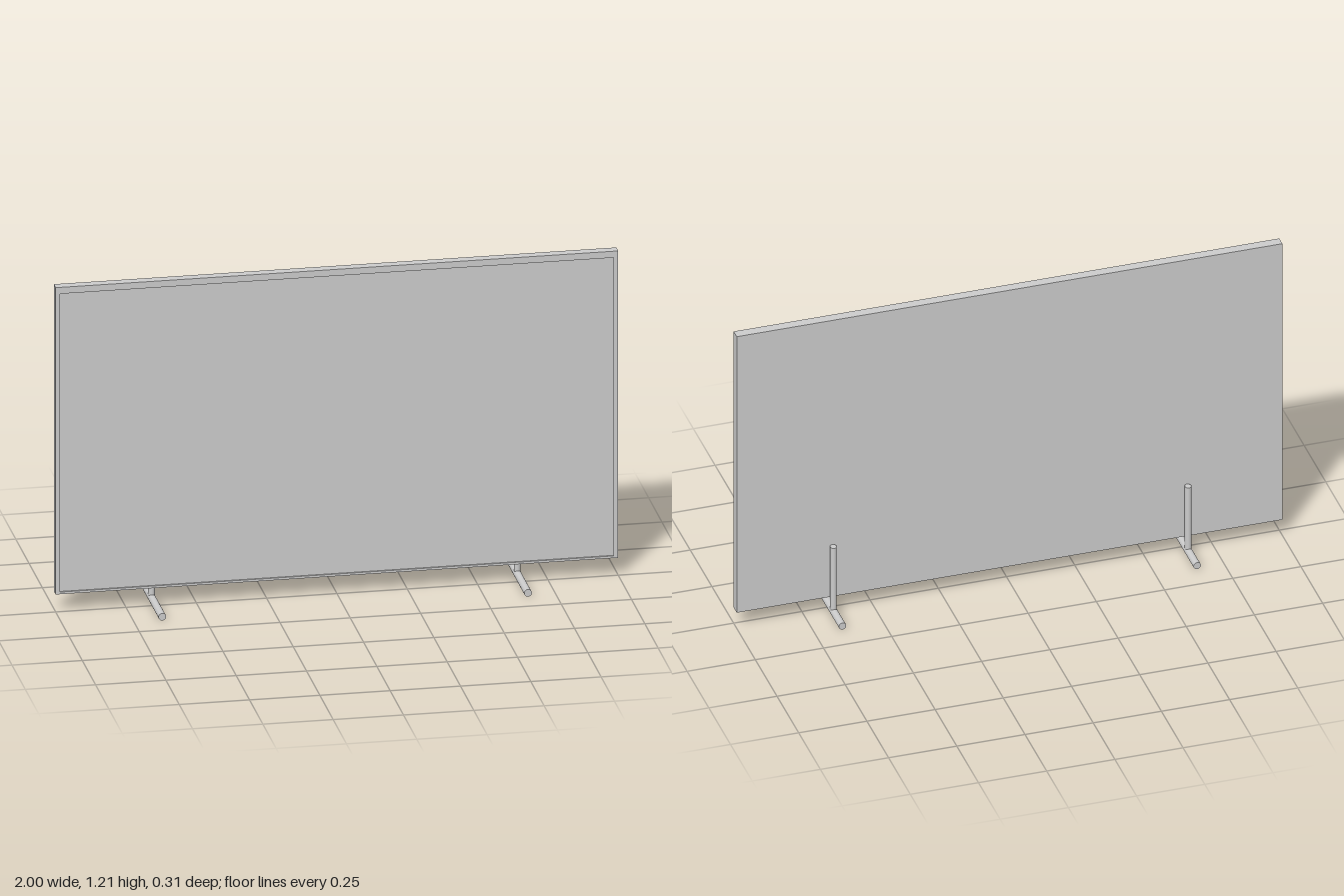
import * as THREE from 'three';

const material = new THREE.MeshStandardMaterial({ color: 0xcccccc });

function addMesh(parent, name, geometry, x, y, z) {
  const mesh = new THREE.Mesh(geometry, material);
  mesh.name = name;
  mesh.position.set(x, y, z);
  parent.add(mesh);
  return mesh;
}

// Closed rectangle as a point list
function rectangle(x0, y0, x1, y1) {
  return [[x0, y0], [x1, y0], [x1, y1], [x0, y1]].map(([x, y]) => new THREE.Vector2(x, y));
}

export function createModel() {
  const model = new THREE.Group();
  model.name = 'television';

  const bottom = 0.065, top = 1.207, back = -0.036, recess = 0.006;
  const height = top - bottom;

  // Flat cabinet, whose front face is the screen
  const depth = -back - recess;
  addMesh(model, 'screenPanel', new THREE.BoxGeometry(2, height, depth),
    0, (top + bottom) / 2, back + depth / 2);

  // Thin raised bezel around the screen
  const outline = new THREE.Shape(rectangle(-1, bottom, 1, top));
  outline.holes.push(new THREE.Path(rectangle(-0.984, bottom + 0.008, 0.984, top - 0.024).reverse()));
  addMesh(model, 'bezel',
    new THREE.ExtrudeGeometry(outline, { depth: recess, bevelEnabled: false }), 0, 0, -recess);

  // Two stands: a round floor bar and an upright behind the panel
  for (const side of [-1, 1]) {
    const stand = new THREE.Group();
    stand.name = side > 0 ? 'leftStand' : 'rightStand';
    stand.position.x = side * 0.65;

    const foot = new THREE.CylinderGeometry(0.0135, 0.0135, 0.31, 32).rotateX(Math.PI / 2);
    addMesh(stand, 'footBar', foot, 0, 0.0135, 0);

    const post = new THREE.CylinderGeometry(0.0135, 0.0135, 0.26, 32).scale(0.85, 1, 1);
    addMesh(stand, 'uprightPost', post, 0, 0.15, -0.0495);

    model.add(stand);
  }
  return model;
}
